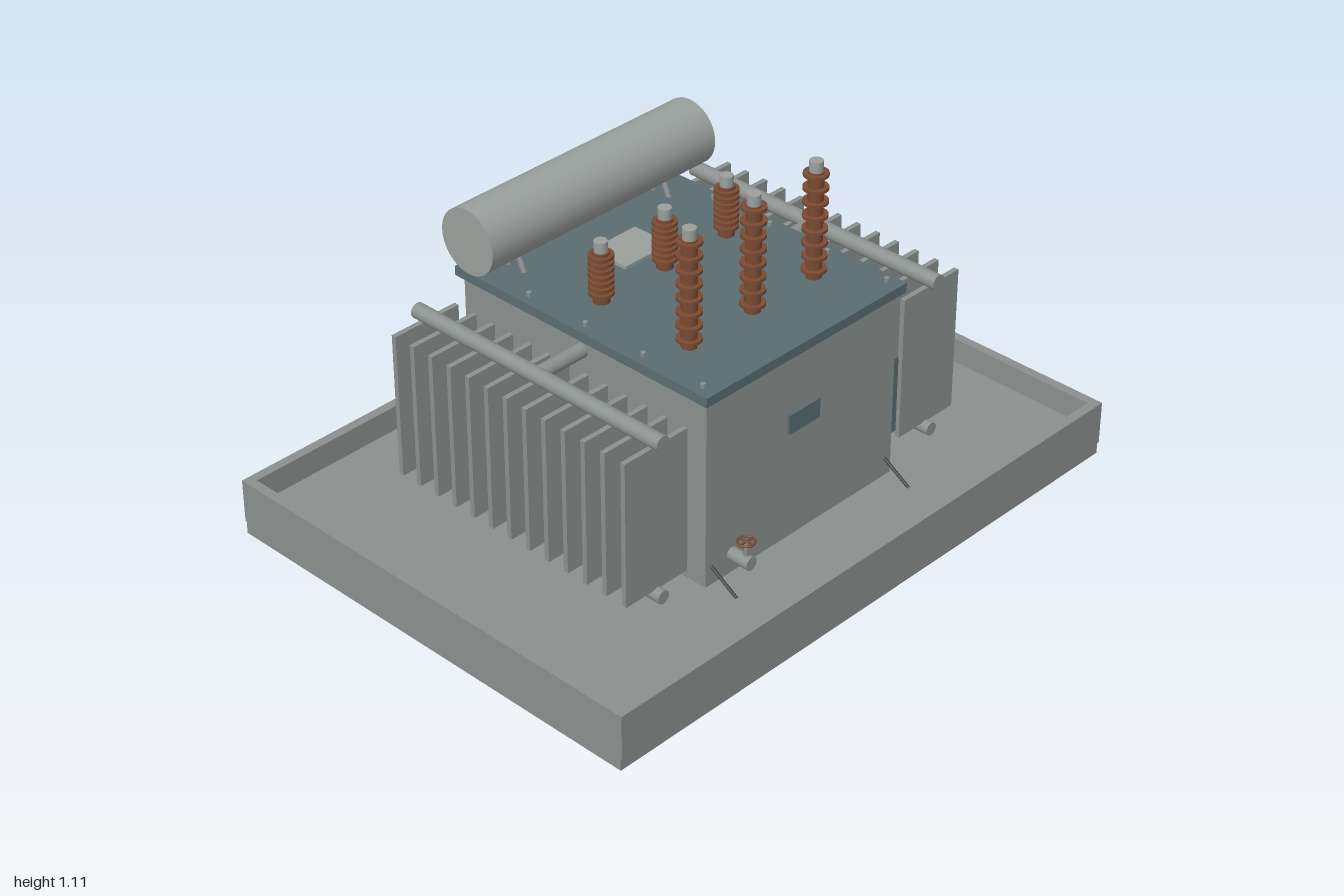
import * as THREE from 'three';

const mat = (name, color) => Object.assign(new THREE.MeshStandardMaterial({ color }), { name });

export function createModel() {
  const concrete = mat('concrete grey', 0x8b908e);
  const steel = mat('tank grey', 0x8b918f);
  const pale = mat('pale grey', 0x9aa09d);
  const teal = mat('slate teal', 0x5a6d71);
  const brown = mat('porcelain brown', 0x7a4a32);
  const dark = mat('dark metal', 0x3c4244);

  const model = new THREE.Group();
  model.name = 'powerTransformer';
  const add = (name, geo, m, x = 0, y = 0, z = 0, parent = model) => {
    const mesh = new THREE.Mesh(geo, m);
    mesh.name = name;
    mesh.position.set(x, y, z);
    parent.add(mesh);
    return mesh;
  };
  const box = (name, m, [x0, x1], [y0, y1], [z0, z1], parent) =>
    add(name, new THREE.BoxGeometry(x1 - x0, y1 - y0, z1 - z0), m,
      (x0 + x1) / 2, (y0 + y1) / 2, (z0 + z1) / 2, parent);
  // Round bar between two points
  const bar = (name, m, a, b, r, sides = 20, parent = model) => {
    const p = new THREE.Vector3(...a), q = new THREE.Vector3(...b);
    const d = q.clone().sub(p);
    const mesh = add(name, new THREE.CylinderGeometry(r, r, d.length(), sides), m, 0, 0, 0, parent);
    mesh.position.copy(p).add(q).multiplyScalar(0.5);
    mesh.quaternion.setFromUnitVectors(new THREE.Vector3(0, 1, 0), d.normalize());
    return mesh;
  };
  const group = (name) => {
    const g = new THREE.Group();
    g.name = name;
    model.add(g);
    return g;
  };

  // Containment tray: footing, floor and four walls
  const tray = group('containmentTray');
  box('footing', concrete, [-1, 1], [0, 0.04], [-0.75, 0.75], tray);
  box('trayFloor', concrete, [-0.97, 0.97], [0.04, 0.1], [-0.725, 0.725], tray);
  box('innerFloor', concrete, [-0.915, 0.915], [0.1, 0.106], [-0.665, 0.665], tray);
  for (const s of [-1, 1]) {
    box('longWall', concrete, [-1, 1], [0.04, 0.18], [s * 0.74 - 0.015, s * 0.74 + 0.015], tray);
    box('shortWall', concrete, [s * 0.985 - 0.015, s * 0.985 + 0.015], [0.04, 0.18], [-0.725, 0.725], tray);
  }

  // Tank and lid
  box('tank', steel, [-0.385, 0.385], [0.106, 0.71], [-0.467, 0.467]);
  box('lid', teal, [-0.403, 0.403], [0.712, 0.742], [-0.485, 0.485]);
  box('nameplate', teal, [-0.063, 0.063], [0.455, 0.518], [0.467, 0.475]);
  box('reliefHatch', pale, [-0.088, 0.088], [0.742, 0.752], [-0.262, -0.125]);
  for (const x of [-0.37, 0.37])
    for (const z of [-0.44, -0.22, 0, 0.22, 0.44])
      add('lidBolt', new THREE.CylinderGeometry(0.008, 0.008, 0.014, 6), steel, x, 0.748, z);

  // Radiator banks, mirrored
  for (const s of [-1, 1]) {
    const bank = group(s > 0 ? 'leftRadiator' : 'rightRadiator');
    for (const [y, r] of [[0.67, 0.024], [0.172, 0.021]]) {
      bar('header', steel, [s * 0.557, y, -0.475], [s * 0.557, y, 0.475], r, 24, bank);
      bar('connectingPipe', steel, [s * 0.38, y, 0], [s * 0.557, y, 0], r - 0.002, 20, bank);
    }
    for (let i = 0; i < 13; i++) {
      const z = -0.443 + i * 0.0738;
      box('fin', steel, [s * 0.5575 - 0.1175, s * 0.5575 + 0.1175], [0.188, 0.652], [z - 0.008, z + 0.008], bank);
    }
  }

  // Bushings: stepped insulator with sheds and a terminal cap
  const bushing = (name, x, z, top, coreR, sheds, shedStart, pitch, shedH) => {
    const g = group(name);
    g.position.set(x, 0, z);
    const coreTop = top - 0.033;
    add('insulator', new THREE.CylinderGeometry(coreR, coreR, coreTop - 0.742, 20), brown, 0, (coreTop + 0.742) / 2, 0, g);
    for (let i = 0; i < sheds; i++)
      add('shed', new THREE.CylinderGeometry(0.037, 0.037, shedH, 20), brown, 0, shedStart + i * pitch, 0, g);
    add('terminal', new THREE.CylinderGeometry(0.02, 0.02, 0.034, 16), pale, 0, top - 0.017, 0, g);
  };
  for (const x of [-0.25, 0, 0.25]) {
    bushing('highVoltageBushing', x, 0.275, 1.112, 0.023, 8, 0.768, 0.0432, 0.009);
    bushing('lowVoltageBushing', x, -0.058, 0.935, 0.025, 7, 0.772, 0.0195, 0.009);
  }

  // Conservator drum on splayed legs
  const drum = group('conservator');
  bar('drum', pale, [-0.442, 0.877, -0.385], [0.442, 0.877, -0.385], 0.102, 40, drum);
  bar('gauge', teal, [0.44, 0.877, -0.385], [0.46, 0.877, -0.385], 0.043, 28, drum);
  for (const x of [-0.29, 0.29])
    for (const s of [-1, 0, 1])
      bar('drumLeg', steel, [x, 0.74, -0.385 + s * 0.062], [x, 0.81, -0.385 + s * 0.03], 0.009, 10, drum);

  // Control cabinet with three doors
  const cabinet = group('controlCabinet');
  box('cabinetBody', teal, [0.385, 0.44], [0.207, 0.46], [0.232, 0.437], cabinet);
  [0.27, 0.335, 0.4].forEach((z, i) => {
    box('door', teal, [0.44, 0.444], [0.215, 0.452], [z - 0.03, z + 0.03], cabinet);
    const h = i === 1 ? 0.023 : 0.011;
    box('doorHandle', pale, [0.444, 0.453], [0.333 - h, 0.333 + h], [z - 0.003, z + 0.003], cabinet);
  });

  // Ladder
  const ladder = group('ladder');
  for (const z of [-0.34, -0.43]) {
    bar('ladderRail', steel, [0.42, 0.106, z], [0.42, 0.718, z], 0.008, 10, ladder);
    for (const y of [0.2, 0.66])
      bar('ladderBracket', steel, [0.38, y, z], [0.42, y, z], 0.006, 8, ladder);
  }
  for (let i = 0; i < 5; i++)
    bar('rung', steel, [0.42, 0.17 + i * 0.115, -0.43], [0.42, 0.17 + i * 0.115, -0.34], 0.005, 8, ladder);

  // Drain valve with handwheel
  const valve = group('drainValve');
  bar('drainPipe', steel, [-0.28, 0.168, 0.46], [-0.28, 0.168, 0.54], 0.021, 16, valve);
  bar('valveStem', steel, [-0.28, 0.168, 0.52], [-0.28, 0.235, 0.52], 0.007, 10, valve);
  add('handwheel', new THREE.TorusGeometry(0.025, 0.0035, 8, 24), brown, -0.28, 0.234, 0.52, valve).rotation.x = Math.PI / 2;
  box('wheelSpoke', brown, [-0.305, -0.255], [0.232, 0.236], [0.517, 0.523], valve);
  box('wheelSpoke', brown, [-0.283, -0.277], [0.232, 0.236], [0.495, 0.545], valve);

  // Earthing straps
  for (const x of [-0.36, 0.36])
    bar('earthStrap', dark, [x, 0.165, 0.465], [x, 0.106, 0.56], 0.005, 8);

  return model;
}
